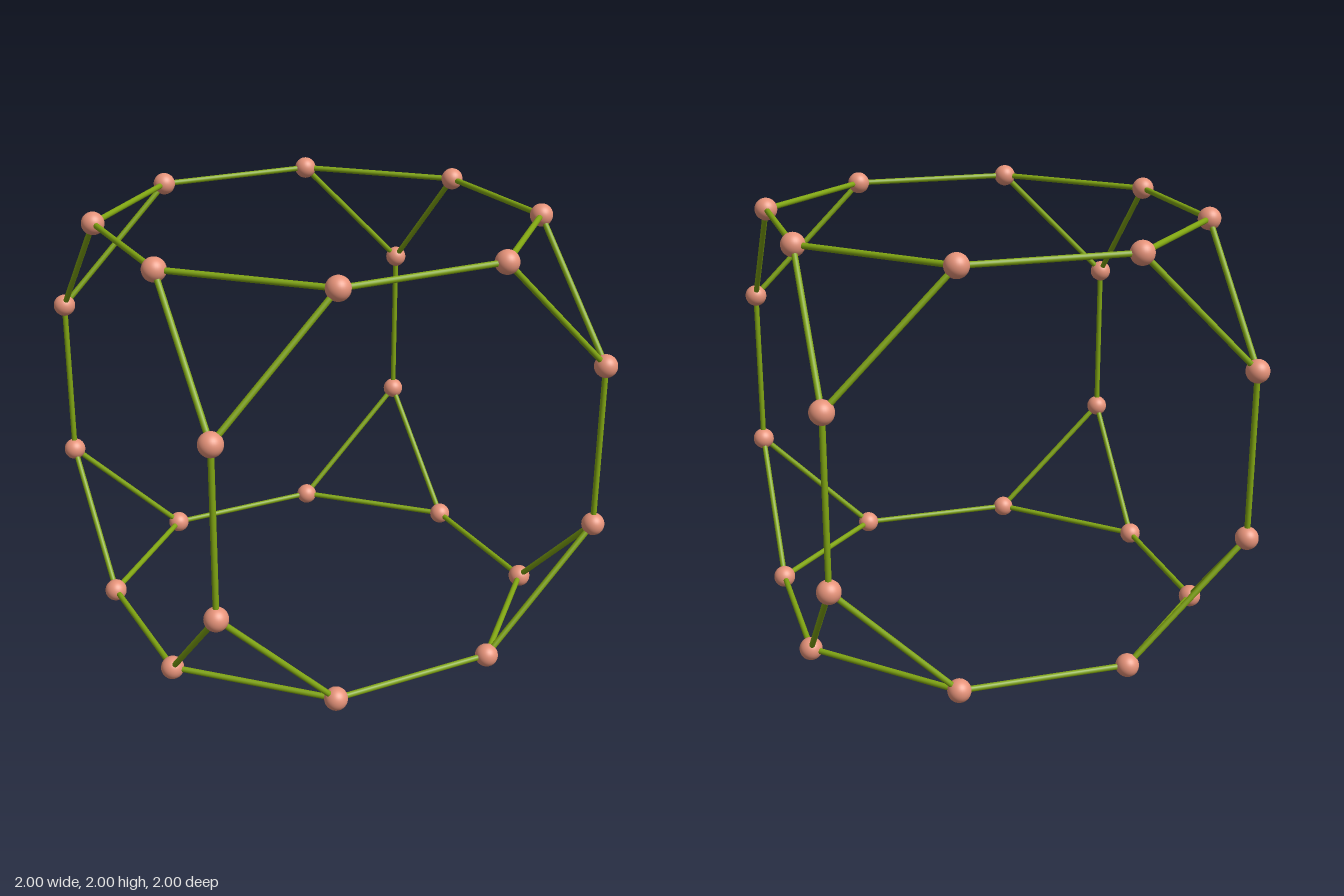
import * as THREE from 'three';

const BALL_R = 0.053;
const ROD_R = 0.0135;
const A = 1 - BALL_R;             // distance of the cube faces from the centre
const B = A * (Math.SQRT2 - 1);   // half the edge of a truncated cube
const EDGE = 2 * B;

export function createModel() {
  const model = new THREE.Group();
  model.name = 'truncatedCubeFrame';
  const balls = new THREE.Group();
  balls.name = 'cornerBalls';
  const rods = new THREE.Group();
  rods.name = 'edgeRods';
  model.add(balls, rods);

  const ballMat = new THREE.MeshStandardMaterial({ color: 0xe6937a });
  const rodMat = new THREE.MeshStandardMaterial({ color: 0x80a512 });
  const ballGeo = new THREE.SphereGeometry(BALL_R, 32, 20);
  const rodGeo = new THREE.CylinderGeometry(ROD_R, ROD_R, EDGE, 16);

  // Corners: every sign of (A, A, B) with B on each axis in turn
  const corners = [];
  for (let axis = 0; axis < 3; axis++)
    for (const sx of [-1, 1])
      for (const sy of [-1, 1])
        for (const sz of [-1, 1]) {
          const size = [A, A, A];
          size[axis] = B;
          corners.push(new THREE.Vector3(sx * size[0], sy * size[1], sz * size[2]));
        }

  // A ball on each corner
  for (const p of corners) {
    const ball = new THREE.Mesh(ballGeo, ballMat);
    ball.name = 'cornerBall';
    ball.position.copy(p);
    balls.add(ball);
  }

  // A rod between every two corners one edge length apart
  const up = new THREE.Vector3(0, 1, 0);
  corners.forEach((p, i) => {
    for (const q of corners.slice(i + 1)) {
      if (Math.abs(p.distanceTo(q) - EDGE) > 0.01) continue;
      const rod = new THREE.Mesh(rodGeo, rodMat);
      rod.name = 'edgeRod';
      rod.position.addVectors(p, q).multiplyScalar(0.5);
      rod.quaternion.setFromUnitVectors(up, q.clone().sub(p).normalize());
      rods.add(rod);
    }
  });

  model.position.y = 1;
  return model;
}
